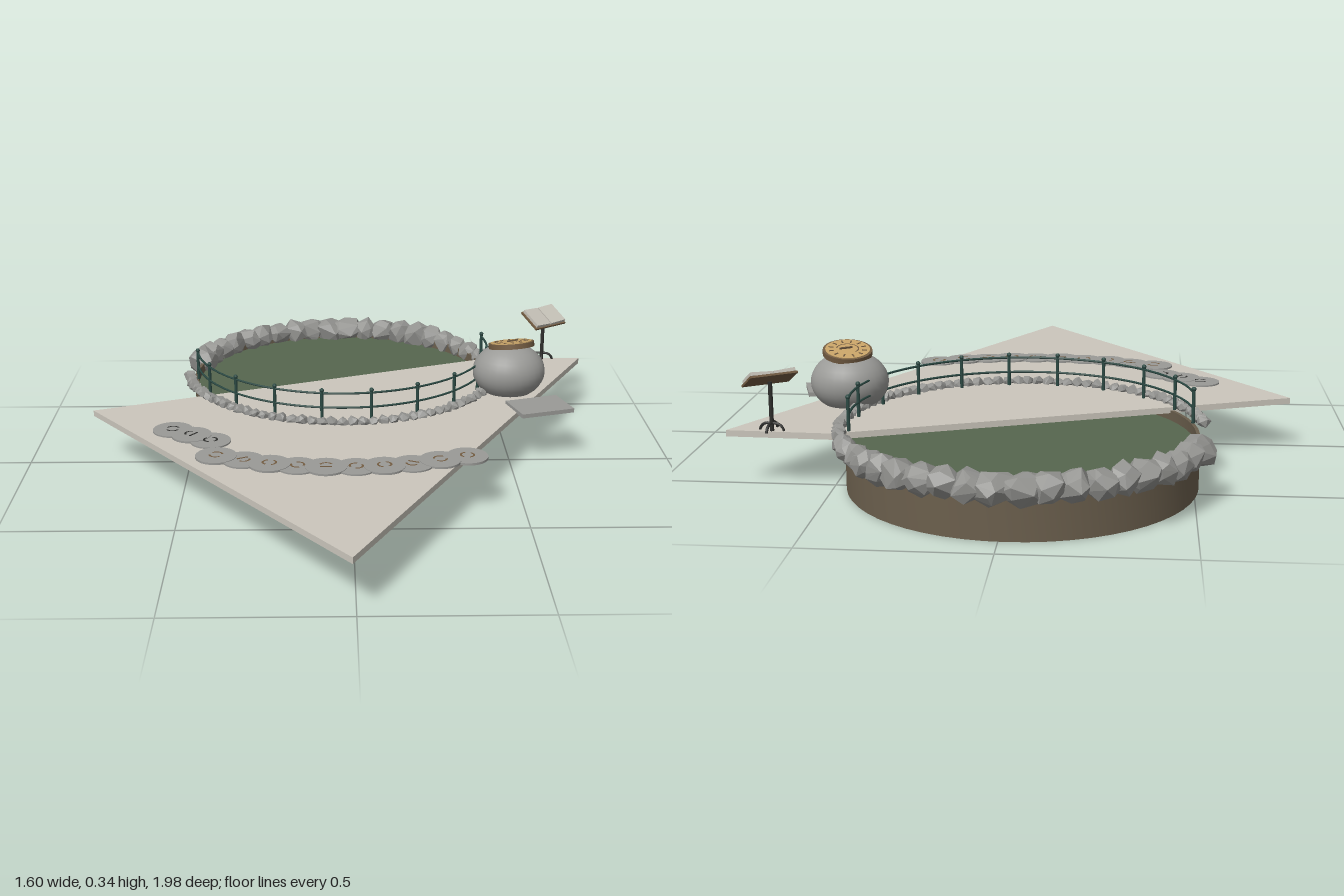
import * as THREE from 'three';
import { toCreasedNormals } from 'three/addons/utils/BufferGeometryUtils.js';
import { ConvexGeometry } from 'three/addons/geometries/ConvexGeometry.js';

const CX = -0.02, CZ = -0.42; // pond centre

export function createModel() {
  const model = new THREE.Group();
  model.name = 'pondTerrace';
  const mat = (name, color, extra = {}) => {
    const m = new THREE.MeshStandardMaterial({ color, ...extra });
    m.name = name;
    return m;
  };
  const paving = mat('paving', 0xcbc6bc);
  const earth = mat('earthWall', 0x6b5f4d, { side: THREE.DoubleSide });
  const water = mat('water', 0x56664f);
  const rock = mat('rock', 0x949491, { flatShading: true });
  const stone = mat('greyStone', 0x9a9a97);
  const green = mat('railGreen', 0x2c4a44);
  const iron = mat('darkIron', 0x2e2e2c);
  const page = mat('page', 0xc4c0b6);
  const bronze = mat('bronze', 0x735c42);
  const brass = mat('brass', 0xc8a468);

  let seed = 7;
  const rnd = () => (seed = (seed * 16807) % 2147483647) / 2147483647;

  const add = (parent, name, geometry, material, x = 0, y = 0, z = 0) => {
    const m = new THREE.Mesh(geometry, material);
    m.name = name;
    m.position.set(x, y, z);
    parent.add(m);
    return m;
  };
  const group = (name, x = 0, y = 0, z = 0, parent = model) => {
    const g = new THREE.Group();
    g.name = name;
    g.position.set(x, y, z);
    parent.add(g);
    return g;
  };
  const ring = (deg, r) => {
    const a = THREE.MathUtils.degToRad(deg);
    return [CX + r * Math.cos(a), CZ + r * Math.sin(a)];
  };

  // Angular boulder of unit radius
  const boulder = (count) => {
    const pts = [];
    for (let i = 0; i < count; i++) {
      const y = 1 - (2 * (i + 0.5)) / count;
      const a = i * 2.4 + rnd() * 0.9;
      const h = Math.sqrt(1 - y * y);
      pts.push(new THREE.Vector3(h * Math.cos(a), y, h * Math.sin(a)).multiplyScalar(0.85 + rnd() * 0.3));
    }
    return new ConvexGeometry(pts);
  };

  // Basin with inner wall, and the water in it
  const profile = [[0, 0], [0.495, 0], [0.495, 0.15], [0.485, 0.15], [0.485, 0.1]]
    .map(([x, y]) => new THREE.Vector2(x, y));
  add(model, 'basin', toCreasedNormals(new THREE.LatheGeometry(profile, 56), 0.6), earth, CX, 0, CZ);
  add(model, 'waterSurface', new THREE.CircleGeometry(0.487, 56).rotateX(-Math.PI / 2), water, CX, 0.12, CZ);

  // Paved slab covering the front half of the pond
  const outline = new THREE.Shape([[-0.8, -0.035], [-0.01, 0.995], [0.8, -0.525], [0.5, -0.535]]
    .map(([x, z]) => new THREE.Vector2(x, -z)));
  const slab = new THREE.ExtrudeGeometry(outline, { depth: 0.018, bevelEnabled: false }).rotateX(-Math.PI / 2);
  add(model, 'terraceSlab', slab, paving, 0, 0.142, 0);

  // Low kerb of small stones round the front
  const kerb = group('stoneKerb');
  for (let i = 0; i < 54; i++) {
    const deg = -16 + (188 * i) / 53;
    const [x, z] = ring(deg, 0.512);
    const s = add(kerb, 'kerbStone', boulder(14), rock, x, 0.165, z);
    s.scale.set(0.021, 0.015 + rnd() * 0.006, 0.02);
    s.rotation.y = -THREE.MathUtils.degToRad(deg);
  }

  // Large rocks round the back, biggest in the middle
  const rocks = group('backRocks');
  const sizes = [0.03, 0.036, 0.038, 0.042, 0.045, 0.056, 0.05, 0.045, 0.05, 0.06, 0.064,
    0.05, 0.048, 0.05, 0.048, 0.05, 0.046, 0.046, 0.044, 0.056];
  sizes.forEach((r, i) => {
    const [x, z] = ring(-19 - (143.5 * i) / (sizes.length - 1), 0.505);
    const s = add(rocks, 'rock', boulder(20), rock, x, 0.146, z);
    s.scale.set(r, Math.min(r, 0.046), r);
    s.rotation.y = rnd() * 6;
  });

  // Railing: eleven posts and two curved rails
  const railing = group('railing');
  for (let i = 0; i <= 10; i++) {
    const [x, z] = ring(-10 + 18 * i, 0.485);
    add(railing, 'post', new THREE.CylinderGeometry(0.005, 0.005, 0.1, 8), green, x, 0.208, z);
    add(railing, 'postCap', new THREE.SphereGeometry(0.007, 8, 6), green, x, 0.257, z);
  }
  for (const y of [0.202, 0.248]) {
    const path = [];
    for (let i = 0; i <= 20; i++) {
      const [x, z] = ring(-10 + 9 * i, 0.485);
      path.push(new THREE.Vector3(x, y, z));
    }
    add(railing, 'rail', new THREE.TubeGeometry(new THREE.CatmullRomCurve3(path), 80, 0.0035, 6), green);
  }

  // Round boulder carrying a tilted sundial
  const globe = add(model, 'sundialBoulder', new THREE.SphereGeometry(1, 28, 18), stone, 0.515, 0.228, -0.202);
  globe.scale.set(0.116, 0.09, 0.104);
  const dial = group('sundial', 0.52, 0.316, -0.2);
  dial.rotation.set(-0.2, 0, 0.08);
  add(dial, 'dialPlate', new THREE.CylinderGeometry(0.073, 0.073, 0.016, 32), bronze);
  add(dial, 'dialFace', new THREE.CylinderGeometry(0.066, 0.066, 0.003, 32), brass, 0, 0.0085, 0);
  for (let i = 0; i < 12; i++) {
    const a = (i / 12) * Math.PI * 2;
    const tick = add(dial, 'hourMark', new THREE.BoxGeometry(0.014, 0.002, 0.004), bronze,
      0.05 * Math.cos(a), 0.0105, 0.05 * Math.sin(a));
    tick.rotation.y = -a;
  }
  const arc = new THREE.RingGeometry(0.03, 0.034, 24, 1, 2.6, 3.8).rotateX(-Math.PI / 2);
  add(dial, 'dialArc', arc, bronze, 0, 0.011, 0);
  add(dial, 'pointer', new THREE.BoxGeometry(0.04, 0.006, 0.004), bronze, 0.005, 0.012, 0).rotation.y = 0.5;

  // Flat stone tablet beside the boulder
  const tablet = add(model, 'stoneTablet', new THREE.BoxGeometry(0.175, 0.013, 0.13), stone, 0.595, 0.163, -0.04);
  tablet.rotation.y = 0.3;

  // Lectern with an open book
  const lectern = group('lectern', 0.67, 0.16, -0.52);
  lectern.rotation.y = 0.61;
  add(lectern, 'lecternPost', new THREE.CylinderGeometry(0.006, 0.006, 0.14, 10), iron, 0, 0.07, 0);
  for (let i = 0; i < 4; i++) {
    const a = (i * Math.PI) / 2 + Math.PI / 4, c = Math.cos(a), s = Math.sin(a);
    const curve = new THREE.QuadraticBezierCurve3(new THREE.Vector3(0, 0.022, 0),
      new THREE.Vector3(0.03 * c, 0.026, 0.03 * s), new THREE.Vector3(0.036 * c, 0.002, 0.036 * s));
    add(lectern, 'lecternFoot', new THREE.TubeGeometry(curve, 8, 0.004, 6), iron);
  }
  const book = group('openBook', 0, 0.148, 0, lectern);
  book.rotation.x = 0.5;
  add(book, 'bookCover', new THREE.BoxGeometry(0.136, 0.006, 0.088), bronze);
  for (const side of [-1, 1]) {
    const leaf = add(book, 'pages', new THREE.BoxGeometry(0.062, 0.01, 0.08), page, side * 0.033, 0.008, 0);
    leaf.rotation.z = side * 0.06;
  }

  // Curved trail of round stepping stones with inlaid marks
  const trail = group('steppingStones');
  const spots = [[-0.535, 0.14], [-0.475, 0.185], [-0.415, 0.23], [-0.39, 0.35], [-0.31, 0.38],
    [-0.235, 0.41], [-0.155, 0.425], [-0.075, 0.435], [0.01, 0.435], [0.09, 0.43],
    [0.17, 0.415], [0.25, 0.39], [0.33, 0.36]];
  spots.forEach(([x, z], i) => {
    const y = 0.161 + (i % 2) * 0.0015;
    const step = group('steppingStone', x, y, z, trail);
    add(step, 'stoneDisc', new THREE.CylinderGeometry(0.06, 0.06, 0.007, 28), stone);
    const mark = group('inlay', 0, 0.0055, 0, step);
    mark.rotation.y = i * 0.9;
    const m = i < 3 ? iron : bronze;
    const half = new THREE.RingGeometry(0.014, 0.02, 16, 1, 0.4, 2.4).rotateX(-Math.PI / 2);
    add(mark, 'inlayArc', half, m, 0, 0, -0.002);
    if (i % 3 !== 1) add(mark, 'inlayArc', half.clone().rotateY(Math.PI), m, 0, 0, 0.002);
    if (i % 3 === 1) add(mark, 'inlayBar', new THREE.BoxGeometry(0.034, 0.001, 0.005), m, 0, 0, 0.008);
  });

  return model;
}
